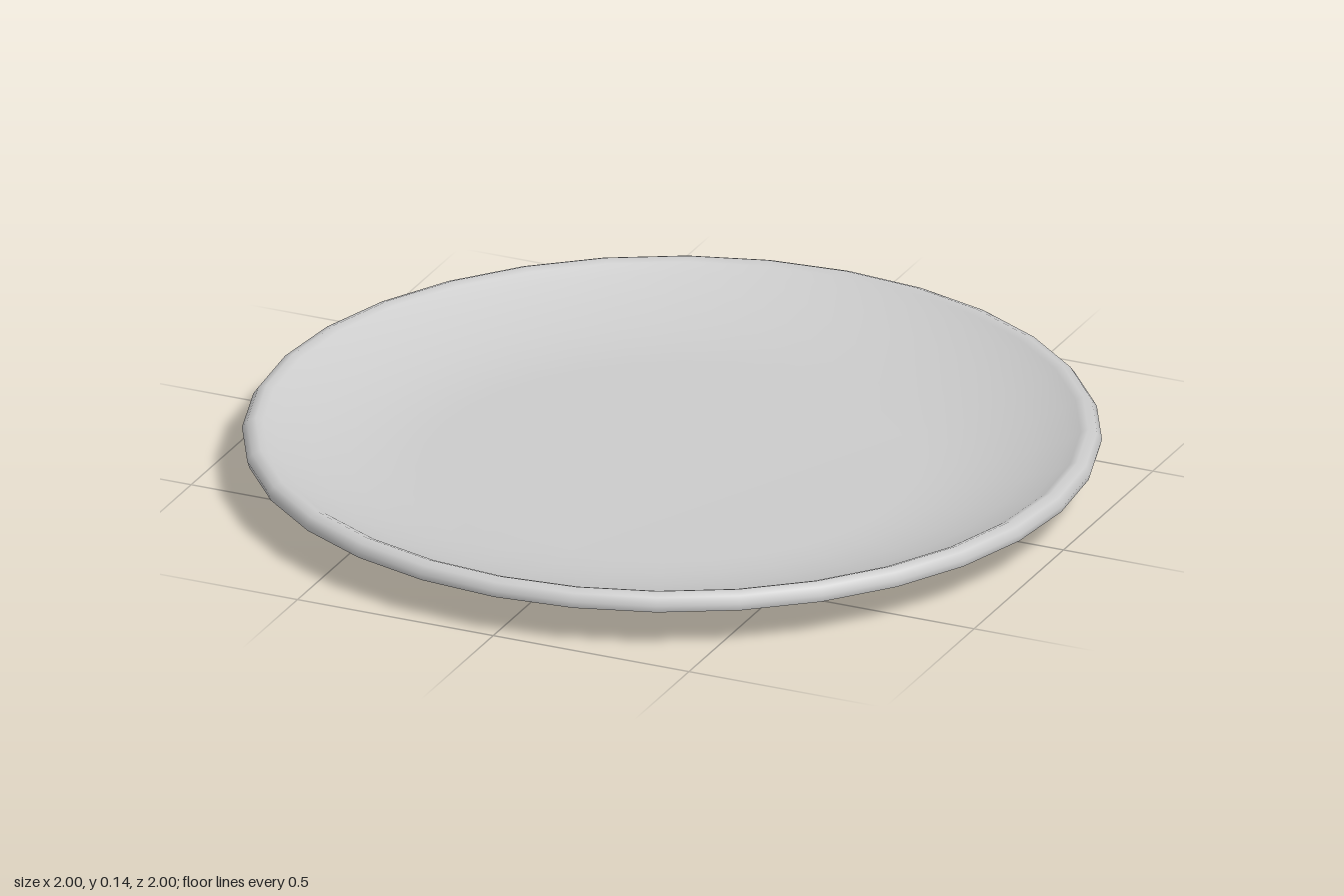
import * as THREE from 'three';

const SIDES = 32;

export function createModel() {
  const plate = new THREE.Group();
  plate.name = 'plate';
  const material = new THREE.MeshStandardMaterial({ color: 0xcccccc });

  // Each profile is turned separately, so the joints between parts stay crisp
  const turn = (name, profile) => {
    const points = profile.map(([r, y]) => new THREE.Vector2(r, y));
    const mesh = new THREE.Mesh(new THREE.LatheGeometry(points, SIDES), material);
    mesh.name = name;
    plate.add(mesh);
  };

  // Flat base and its short, flared foot
  turn('base', [[0, 0], [0.715, 0]]);
  turn('foot', [[0.715, 0], [0.724, 0.008], [0.735, 0.027]]);

  // Sloping underside
  turn('underside', [[0.735, 0.027], [0.995, 0.096]]);

  // Rounded rim flowing into the shallow dish and flat floor
  turn('rimAndDish', [
    [0.995, 0.096], [1, 0.113], [0.988, 0.13], [0.968, 0.138], [0.95, 0.131],
    [0.92, 0.113], [0.84, 0.083], [0.75, 0.06], [0.66, 0.046], [0.56, 0.04], [0, 0.04],
  ]);

  return plate;
}
